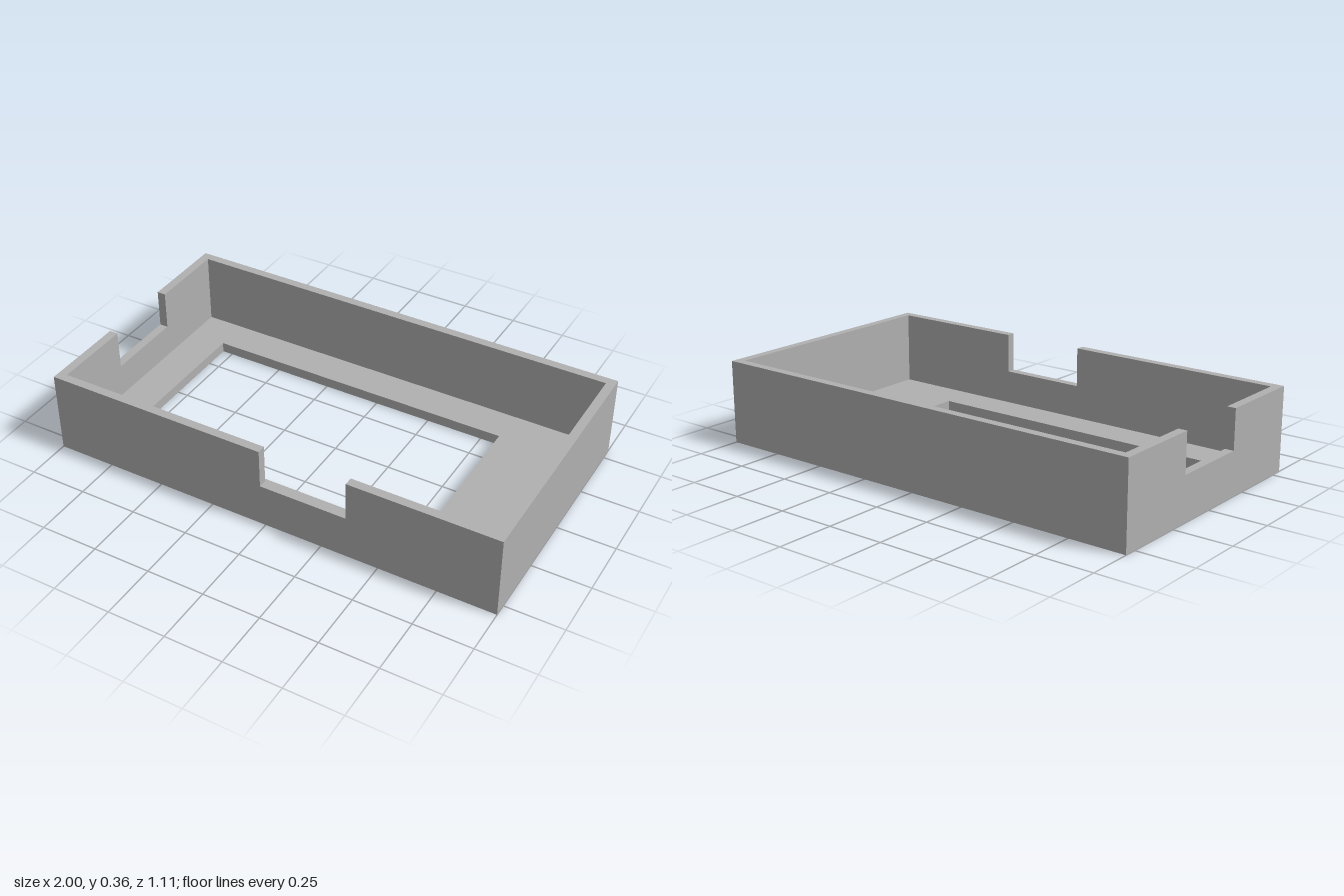
import * as THREE from 'three';

const W = 1, D = 0.554, H = 0.36;   // half width, half depth, height
const WALL = 0.038, FLOOR = 0.045;
const NOTCH_Y = 0.19;

const gray = new THREE.MeshStandardMaterial({ color: 0xb0b0b0 });
gray.name = 'plain gray';

function extrude(name, shape, depth) {
  const geometry = new THREE.ExtrudeGeometry(shape, { depth, bevelEnabled: false });
  const mesh = new THREE.Mesh(geometry, gray);
  mesh.name = name;
  return mesh;
}

// Upright wall outline, optionally with a notch cut down from its top edge
function wallShape(half, notch) {
  const points = [[-half, 0], [half, 0], [half, H]];
  if (notch) {
    const [a, b] = notch;
    points.push([b, H], [b, NOTCH_Y], [a, NOTCH_Y], [a, H]);
  }
  points.push([-half, H]);
  return new THREE.Shape(points.map(([x, y]) => new THREE.Vector2(x, y)));
}

function rectangle(Type, x0, x1, y0, y1) {
  return new Type([[x0, y0], [x1, y0], [x1, y1], [x0, y1]].map(([x, y]) => new THREE.Vector2(x, y)));
}

export function createModel() {
  const model = new THREE.Group();
  model.name = 'openTray';

  // Floor plate with an off-centre rectangular window
  const plate = rectangle(THREE.Shape, -W + WALL, W - WALL, -D + WALL, D - WALL);
  plate.holes.push(rectangle(THREE.Path, -0.797, 0.583, -0.362, 0.36));
  const floor = extrude('floor', plate, FLOOR);
  floor.rotation.x = Math.PI / 2;
  floor.position.y = FLOOR;

  // Long walls, the front one notched
  const frontWall = extrude('frontWall', wallShape(W, [-0.02, 0.36]), WALL);
  frontWall.position.z = D - WALL;
  const backWall = extrude('backWall', wallShape(W), WALL);
  backWall.position.z = -D;

  // Short walls between them, the right one notched
  const rightWall = extrude('rightWall', wallShape(D - WALL, [-0.175, 0.173]), WALL);
  rightWall.rotation.y = -Math.PI / 2;
  rightWall.position.x = -W + WALL;
  const leftWall = extrude('leftWall', wallShape(D - WALL), WALL);
  leftWall.rotation.y = -Math.PI / 2;
  leftWall.position.x = W;

  model.add(floor, frontWall, backWall, rightWall, leftWall);
  return model;
}
